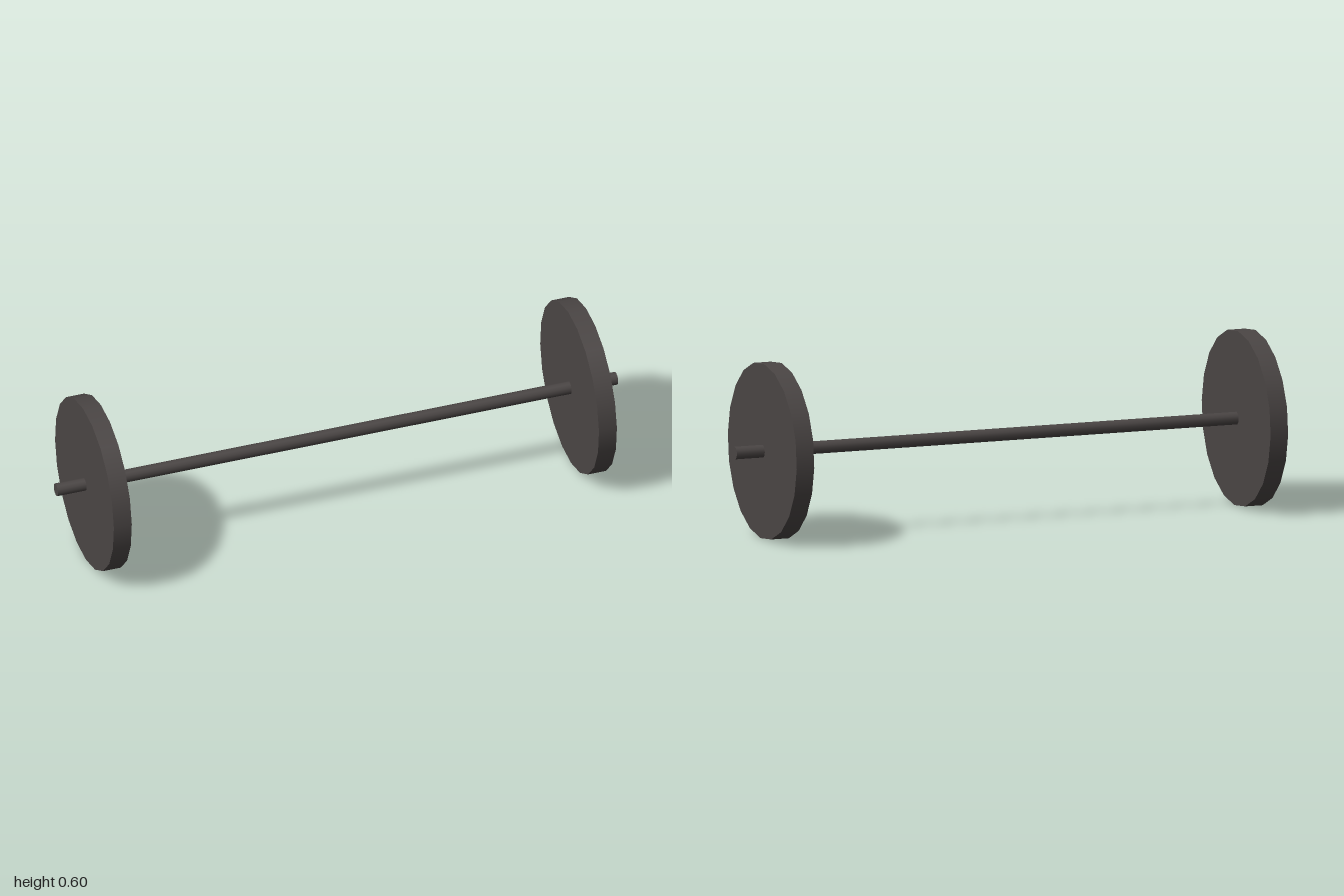
import * as THREE from 'three';

export function createModel() {
  const model = new THREE.Group();
  model.name = 'barbell';
  const iron = new THREE.MeshStandardMaterial({ color: 0x4b4645 });
  iron.name = 'darkIron';

  const twist = THREE.MathUtils.degToRad(-3);

  // Cylinder lying along x, its sides turned slightly about the axis
  function disc(name, radius, length, sides, x) {
    const geometry = new THREE.CylinderGeometry(radius, radius, length, sides, 1, false, twist);
    geometry.rotateZ(-Math.PI / 2);
    const mesh = new THREE.Mesh(geometry, iron);
    mesh.name = name;
    mesh.position.x = x;
    model.add(mesh);
  }

  // Bar through both plates
  disc('bar', 0.022, 2, 12, 0);

  // Weight plates
  disc('leftPlate', 0.3, 0.064, 20, 0.866);
  disc('rightPlate', 0.3, 0.064, 20, -0.866);

  // Resting on the ground, turned a little about the vertical
  model.position.y = 0.3;
  model.rotation.y = THREE.MathUtils.degToRad(3);

  const root = new THREE.Group();
  root.name = 'model';
  root.add(model);
  return root;
}
